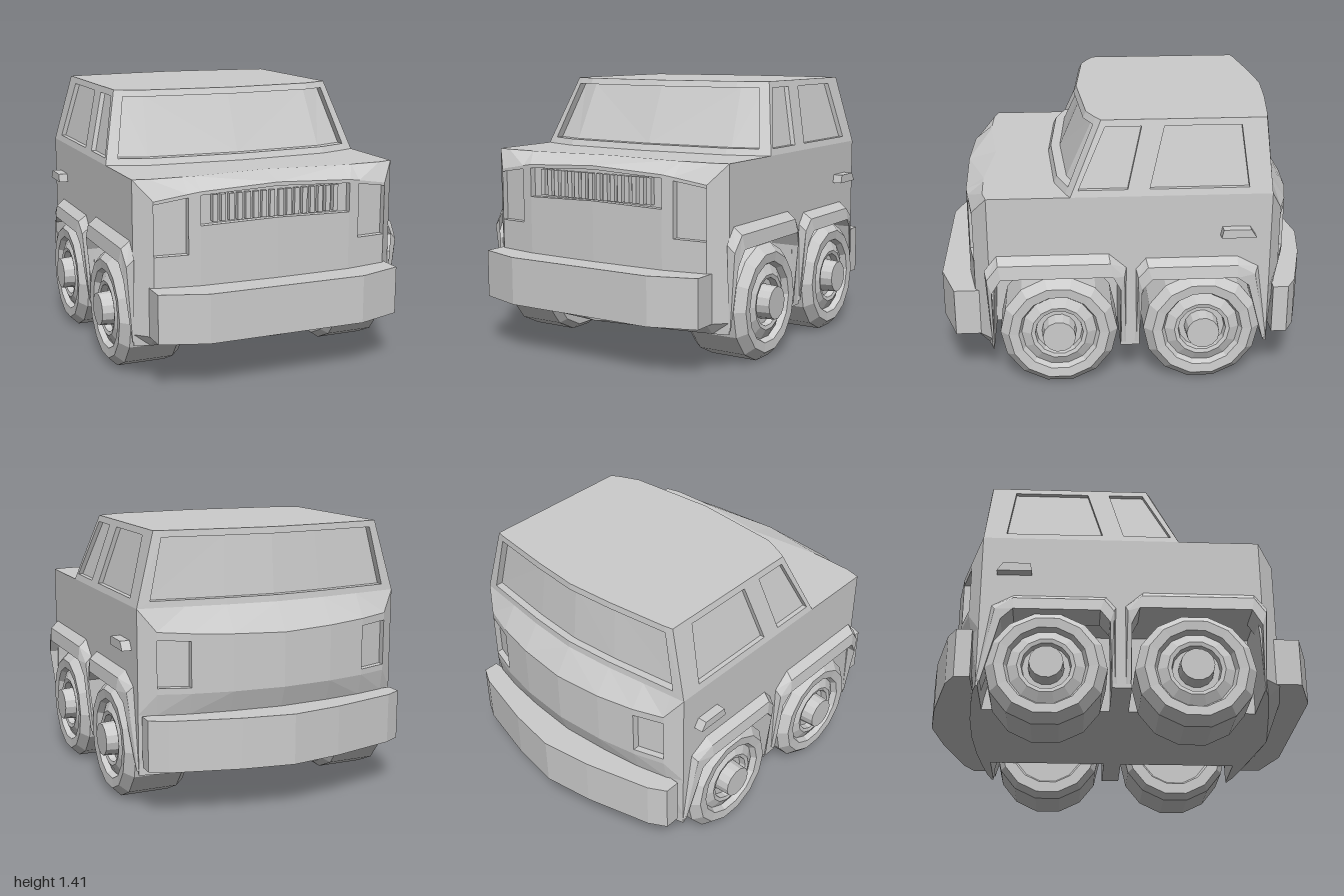
import * as THREE from 'three';

const grey = new THREE.MeshStandardMaterial({ color: 0xcccccc, flatShading: true, side: THREE.DoubleSide });

function add(parent, name, geometry) {
  const mesh = new THREE.Mesh(geometry, grey);
  mesh.name = name;
  parent.add(mesh);
  return mesh;
}

// [x, z] points lifted to height y
const at = (y, pts) => pts.map(([x, z]) => new THREE.Vector3(x, y, z));
const points = (list) => list.map((p) => new THREE.Vector3(...p));
// rows blended between a bottom and a top row
const blend = (a, b, ts) => ts.map((t) => a.map((p, i) => p.clone().lerp(b[i], t)));

// Skin over rows of points; cells chosen by hole(row, column) are pushed inward and walled
function skin(rows, hole = () => false, inward = [0, 0, 0]) {
  const pos = [], push = new THREE.Vector3(...inward);
  const quad = (a, b, c, d) => [a, b, c, a, c, d].forEach((p) => pos.push(p.x, p.y, p.z));
  const nr = rows.length - 1, nc = rows[0].length - 1;
  const open = (r, c) => r >= 0 && c >= 0 && r < nr && c < nc && hole(r, c);
  for (let r = 0; r < nr; r++) for (let c = 0; c < nc; c++) {
    const k = [rows[r][c], rows[r][c + 1], rows[r + 1][c + 1], rows[r + 1][c]];
    if (!open(r, c)) { quad(...k); continue; }
    const inner = k.map((p) => p.clone().add(push));
    quad(...inner);
    [[r - 1, c], [r, c + 1], [r + 1, c], [r, c - 1]].forEach(([nr2, nc2], e) => {
      const f = (e + 1) % 4;
      const onCentre = k[e].x === 0 && k[f].x === 0;
      if (!open(nr2, nc2) && !onCentre) quad(k[e], k[f], inner[f], inner[e]);
    });
  }
  const g = new THREE.BufferGeometry();
  g.setAttribute('position', new THREE.Float32BufferAttribute(pos, 3));
  g.computeVertexNormals();
  return g;
}

// Full plan outline from its +x half
function plan(half) {
  const mirrored = half.filter(([x]) => x > 0).reverse().map(([x, z]) => [-x, z]);
  return new THREE.Shape([...half, ...mirrored].map(([x, z]) => new THREE.Vector2(x, -z)));
}
const sheet = (half, y) => new THREE.ShapeGeometry(plan(half)).rotateX(-Math.PI / 2).translate(0, y, 0);
const slab = (half, y, depth) =>
  new THREE.ExtrudeGeometry(plan(half), { depth, bevelEnabled: false }).rotateX(-Math.PI / 2).translate(0, y, 0);

// Plan lines, from the centre of the nose round the side to the centre of the tail
const noseX = [0, 0.41, 0.47, 0.64, 0.72];
const tailX = [0.72, 0.64, 0.48, 0.27, 0];
const zip = (xs, zs) => xs.map((x, i) => [x, zs[i]]);
const nose = zip(noseX, [0.86, 0.85, 0.84, 0.81, 0.73]);
const chin = zip(noseX, [0.85, 0.79, 0.78, 0.75, 0.725]);
const hoodEdge = zip(noseX, [0.71, 0.755, 0.755, 0.75, 0.73]);
const tail = zip(tailX, [-0.71, -0.77, -0.82, -0.86, -0.88]);
const tailLow = zip(tailX, [-0.71, -0.75, -0.79, -0.82, -0.84]);
const tailFloor = zip(tailX, [-0.71, -0.73, -0.75, -0.77, -0.78]);
const belt = zip(tailX, [-0.71, -0.72, -0.742, -0.77, -0.79]);
const roofFront = [[0, 0.26], [0.47, 0.22], [0.575, 0.175], [0.62, 0.15]];
const roofBack = [[0.62, -0.68], [0.575, -0.69], [0.25, -0.73], [0, -0.75]];
// outline with the two wheel wells cut in
const welled = (front, back, f, r) => [...front,
  [0.72, f], [0.41, f], [0.41, 0.06], [0.72, 0.06],
  [0.72, -0.04], [0.41, -0.04], [0.41, r], [0.72, r], ...back];

function buildSide() {
  const side = new THREE.Group();

  // lower body with wheel wells
  add(side, 'lowerBody', skin([
    at(0.2, welled(chin, tailFloor, 0.72, -0.7)),
    at(0.26, welled(nose, tailFloor, 0.72, -0.69)),
    at(0.51, welled(nose, tailLow, 0.71, -0.63)),
    at(0.62, welled(nose, tail, 0.7, -0.6)),
  ]));

  // nose with headlight and grille recesses, then the bevel up to the hood
  const noseTopY = [1.0, 0.98, 0.97, 0.94, 1.04];
  const noseTop = points(nose.map(([x, z], i) => [x, noseTopY[i], z]));
  add(side, 'nose', skin(blend(at(0.62, nose), noseTop, [0, 0.14, 0.53, 0.95, 1]),
    (r, c) => (c === 2 && (r === 1 || r === 2)) || (c === 0 && r === 2), [0, 0, -0.035]));
  add(side, 'hoodBevel', skin([noseTop, at(1.04, hoodEdge)]));
  for (let i = 0; i < 8; i++) {
    add(side, 'grilleSlat', new THREE.BoxGeometry(0.026, 0.135, 0.03)).position.set(0.024 + i * 0.044, 0.892, 0.83);
  }

  // side wall
  const wall = [[0.72, 0.73], [0.72, -0.71]];
  add(side, 'sideWall', skin([at(0.62, wall), at(1.04, wall)]));

  // tail with lamp recess and shoulder
  const tailTopY = [1.04, 0.93, 0.92, 0.91, 0.9];
  const tailTop = points(tail.map(([x, z], i) => [x, tailTopY[i], z]));
  add(side, 'tail', skin(blend(at(0.62, tail), tailTop, [0, 0.1, 0.87, 1]),
    (r, c) => r === 1 && c === 1, [0, 0, 0.035]));
  add(side, 'tailShoulder', skin([tailTop, at(1.04, belt)]));

  // cabin glazing
  const glaze = [0, 0.09, 0.91, 1];
  add(side, 'windshield', skin(blend(
    at(1.04, [[0, 0.42], [0.5, 0.39], [0.665, 0.335], [0.72, 0.31]]), at(1.41, roofFront), glaze),
    (r, c) => r === 1 && c < 2, [0, 0, -0.05]));
  const sill = [0.31, 0.285, 0.03, -0.08, -0.595, -0.71];
  const rail = [0.15, 0.115, -0.06, -0.175, -0.55, -0.68];
  add(side, 'sideWindows', skin(blend(
    at(1.04, sill.map((z) => [0.72, z])), at(1.41, rail.map((z) => [0.62, z])), glaze),
    (r, c) => r === 1 && (c === 1 || c === 3), [-0.025, 0, 0]));
  add(side, 'rearWindow', skin(blend(
    at(1.04, [[0.72, -0.71], [0.66, -0.718], [0.27, -0.77], [0, -0.79]]), at(1.41, roofBack), glaze),
    (r, c) => r === 1 && c > 0, [0, 0, 0.04]));

  // wheel arch flares: inner and outer edges as [z, y]
  const flare = (name, inner, outer) => {
    const swell = [0.1, 0.85, 1, 1, 0.7, 0.1];
    const row = (t, x0, x1) => points(inner.map(([z, y], i) => [
      x0 + (x1 - x0) * swell[i], y + (outer[i][1] - y) * t, z + (outer[i][0] - z) * t]));
    add(side, name, skin([row(0, 0.6, 0.6), row(0, 0.721, 0.775), row(0.65, 0.721, 0.765), row(1, 0.72, 0.722)]));
  };
  flare('frontFlare',
    [[0.72, 0.22], [0.72, 0.54], [0.67, 0.62], [0.1, 0.62], [0.06, 0.54], [0.055, 0.22]],
    [[0.73, 0.22], [0.755, 0.65], [0.69, 0.73], [0.12, 0.73], [0.03, 0.65], [0.03, 0.22]]);
  flare('rearFlare',
    [[-0.04, 0.22], [-0.05, 0.54], [-0.1, 0.6], [-0.54, 0.6], [-0.6, 0.55], [-0.69, 0.22]],
    [[-0.015, 0.22], [-0.02, 0.64], [-0.07, 0.7], [-0.54, 0.7], [-0.65, 0.64], [-0.71, 0.22]]);

  // door handle
  const handle = new THREE.Shape([[0.45, 0.82], [0.63, 0.82], [0.6, 0.865], [0.46, 0.865]]
    .map((p) => new THREE.Vector2(...p)));
  add(side, 'doorHandle', new THREE.ExtrudeGeometry(handle, { depth: 0.06, bevelEnabled: false })
    .rotateY(Math.PI / 2).translate(0.71, 0, 0));

  // wheels, profile as [radius, x]
  const profile = [[0, 0.45], [0.2, 0.45], [0.215, 0.42], [0.275, 0.42], [0.305, 0.46], [0.305, 0.72],
    [0.26, 0.765], [0.21, 0.76], [0.195, 0.73], [0.145, 0.755], [0.125, 0.75], [0.12, 0.715],
    [0.09, 0.715], [0.085, 0.8], [0, 0.8]].map((p) => new THREE.Vector2(...p));
  for (const [name, z] of [['frontWheel', 0.38], ['rearWheel', -0.365]]) {
    add(side, name, new THREE.LatheGeometry(profile, 14).rotateZ(-Math.PI / 2)).position.set(0, 0.3, z);
  }
  return side;
}

export function createModel() {
  const model = new THREE.Group();
  model.name = 'car';

  const left = buildSide();
  left.name = 'leftSide';
  const right = buildSide();
  right.name = 'rightSide';
  right.scale.x = -1;
  model.add(left, right);

  // horizontal panels
  add(model, 'floor', sheet(welled(chin, tailFloor, 0.72, -0.7), 0.2));
  add(model, 'wheelWellCeiling', sheet([...nose, ...tail], 0.62));
  add(model, 'hood', sheet([...hoodEdge, ...belt], 1.04));
  add(model, 'roof', sheet([...roofFront, ...roofBack], 1.41));

  // bumpers
  add(model, 'frontBumper', slab(
    [[0, 1], [0.42, 1], [0.66, 0.92], [0.66, 0.78], [0, 0.82]], 0.26, 0.25));
  add(model, 'rearBumper', slab(
    [[0, -0.74], [0.71, -0.74], [0.71, -0.82], [0.62, -0.87], [0.27, -0.96], [0, -1]], 0.25, 0.26));
  return model;
}
